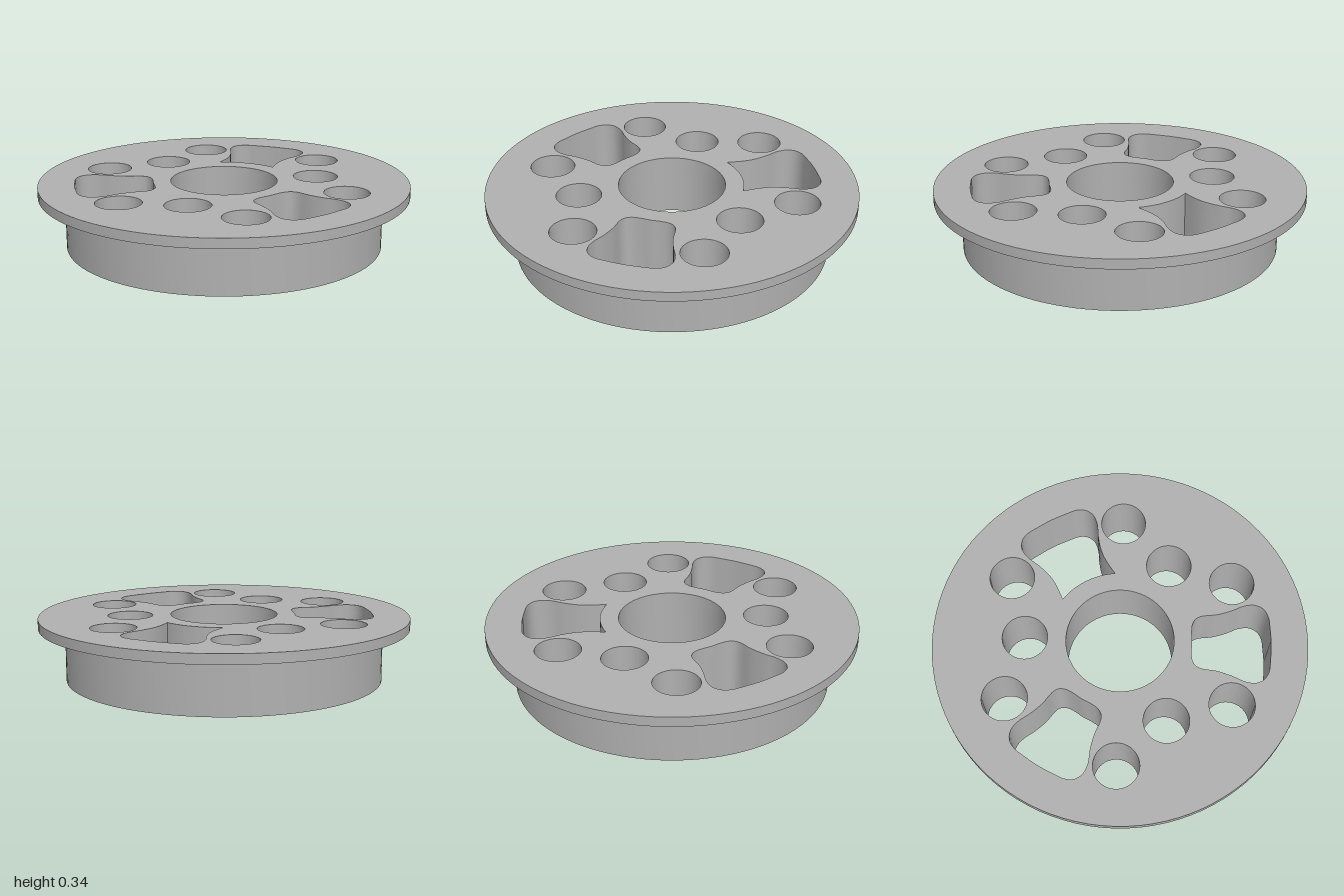
import * as THREE from 'three';
import { toCreasedNormals } from 'three/addons/utils/BufferGeometryUtils.js';

const BODY_R = 0.857, FLANGE_R = 1, FLANGE_Y = 0.289, TOP_Y = 0.342;
const BORE_R = 0.288, HOLE_R = 0.121;
const INNER_R = 0.388; // inner arc of the sharp-cornered window

const toVectors = (pairs) => pairs.map(([x, y]) => new THREE.Vector2(x, y));
const mirrored = (pairs) => pairs.map(([x, y]) => [x, -y]).reverse();

// Half outline shared by every window: along the side and round the outer corner
const side = [[0.513, 0.159], [0.594, 0.184], [0.66, 0.213], [0.72, 0.22],
  [0.766, 0.198], [0.791, 0.155], [0.799, 0.09]];

// Window with rounded inner corners
function roundedWindow() {
  const half = [[0.381, 0.055], [0.385, 0.1], [0.402, 0.131], [0.433, 0.148], ...side];
  const pts = [...half, [0.804, 0], ...mirrored(half), [0.384, 0]];
  const curve = new THREE.CatmullRomCurve3(pts.map(([x, y]) => new THREE.Vector3(x, y, 0)), true);
  return curve.getPoints(100).slice(0, -1).map((p) => new THREE.Vector2(p.x, p.y));
}

// Window whose sides meet the inner arc at sharp corners
function sharpWindow() {
  const half = [[0.353, 0.16], [0.44, 0.153], ...side];
  const outer = new THREE.SplineCurve(toVectors([...half, [0.804, 0], ...mirrored(half)])).getPoints(90);
  const a = Math.atan2(0.16, 0.353);
  for (let i = 1; i < 12; i++) {
    const t = -a + (2 * a * i) / 12;
    outer.push(new THREE.Vector2(INNER_R * Math.cos(t), INNER_R * Math.sin(t)));
  }
  return outer;
}

function circle(radius, x = 0, y = 0) {
  return new THREE.Path().absarc(x, y, radius, 0, Math.PI * 2, false);
}

// All openings that run through both the body and the flange
function openings() {
  const holes = [circle(BORE_R)];
  const holeAt = (r, deg) => {
    const a = THREE.MathUtils.degToRad(deg);
    holes.push(circle(HOLE_R, r * Math.cos(a), r * Math.sin(a)));
  };
  for (let i = 0; i < 6; i++) holeAt(0.687, 30 + i * 60);
  for (let i = 0; i < 3; i++) holeAt(0.507, 60 + i * 120);
  for (let i = 0; i < 3; i++) {
    const pts = i === 1 ? sharpWindow() : roundedWindow();
    const origin = new THREE.Vector2();
    pts.forEach((p) => p.rotateAround(origin, (i * Math.PI * 2) / 3));
    holes.push(new THREE.Path(pts));
  }
  return holes;
}

// Perforated disc standing between two heights
function disc(name, radius, y0, y1, material) {
  const shape = new THREE.Shape().absarc(0, 0, radius, 0, Math.PI * 2, false);
  shape.holes = openings();
  let geo = new THREE.ExtrudeGeometry(shape, { depth: y1 - y0, bevelEnabled: false, curveSegments: 48 });
  geo.rotateX(-Math.PI / 2);
  geo.translate(0, y0, 0);
  geo = toCreasedNormals(geo, 0.6);
  const mesh = new THREE.Mesh(geo, material);
  mesh.name = name;
  return mesh;
}

export function createModel() {
  const grey = new THREE.MeshStandardMaterial({ color: 0xb0b0b0 });
  grey.name = 'grey';
  const group = new THREE.Group();
  group.name = 'flangedHub';
  group.add(
    disc('body', BODY_R, 0, FLANGE_Y, grey),
    disc('flange', FLANGE_R, FLANGE_Y, TOP_Y, grey),
  );
  return group;
}
